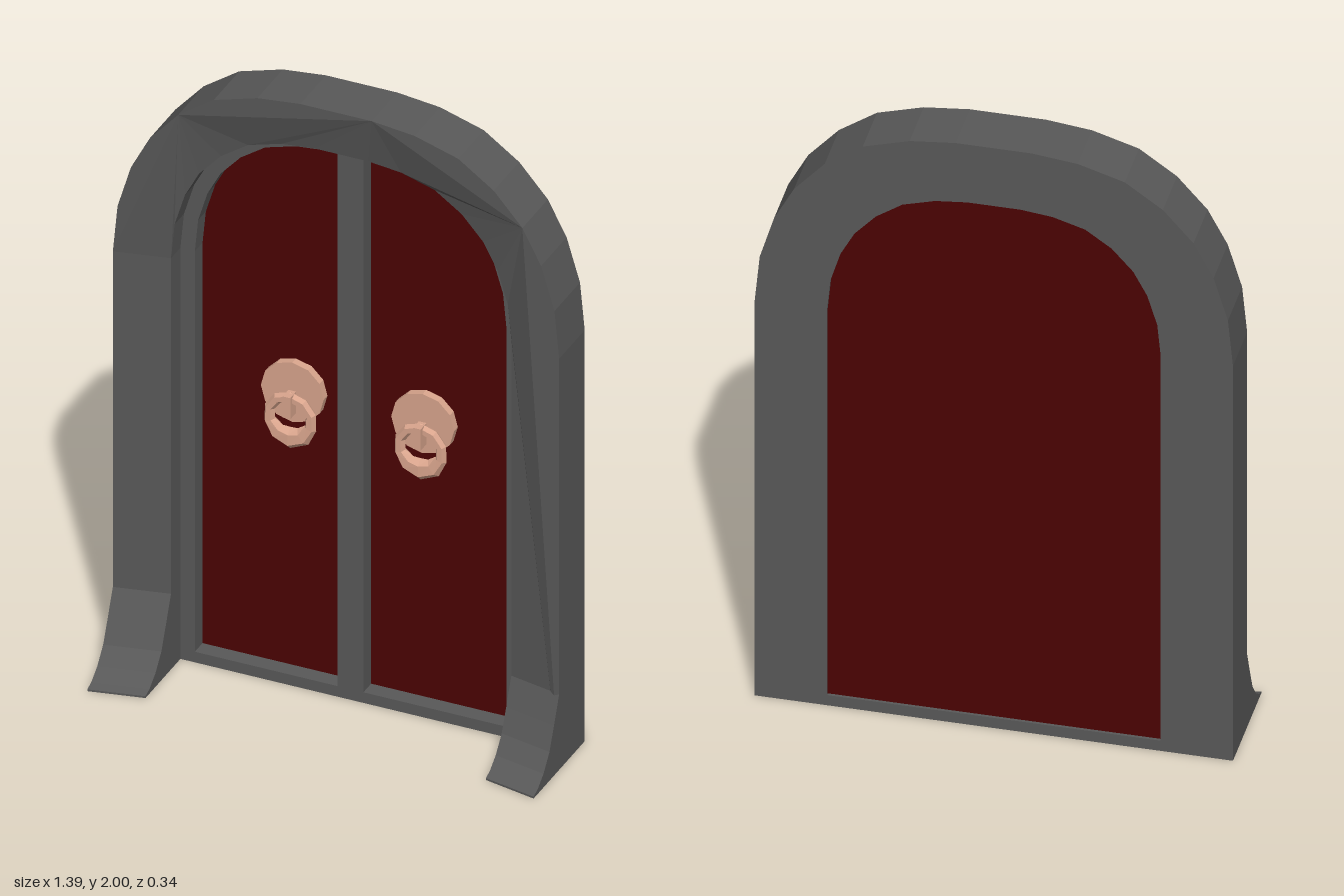
import * as THREE from 'three';

const SPRING = 1.36; // height where the arch begins to curve
const SLOPE = 0.035; // how far the surround's inner edge sits behind its outer edge
// half arch, from the springing to the crown, as fractions of half width and rise
const ARC = [[1, 0], [0.979, 0.24], [0.919, 0.457], [0.835, 0.63], [0.707, 0.787],
  [0.548, 0.908], [0.352, 0.972], [0.16, 0.995]];

const stone = new THREE.MeshStandardMaterial({ color: 0x585858 });
stone.name = 'grey stone';
const redWood = new THREE.MeshStandardMaterial({ color: 0x4b0303 });
redWood.name = 'dark red wood';
const copper = new THREE.MeshStandardMaterial({ color: 0xd8a48c });
copper.name = 'pale copper';

const v2 = (x, y) => new THREE.Vector2(x, y);

const arcPoints = (half, top) =>
  ARC.map(([u, v]) => v2(u * half, SPRING + v * (top - SPRING)));

// arch outline, counter-clockwise from bottom right to bottom left
function archPoints(half, top, bottom) {
  const right = arcPoints(half, top);
  const left = right.map((p) => v2(-p.x, p.y)).reverse();
  return [v2(half, bottom), ...right, ...left, v2(-half, bottom)];
}

// one door leaf opening: half an arch cut off at the centre post
function leafPoints(half, top, bottom, inner, side) {
  return [v2(inner, bottom), v2(half, bottom), ...arcPoints(half, top), v2(inner, top)]
    .map((p) => v2(p.x * side, p.y));
}

function add(parent, name, geometry, material) {
  const mesh = new THREE.Mesh(geometry, material);
  mesh.name = name;
  parent.add(mesh);
  return mesh;
}

function slab(points, holes, zBack, zFront) {
  const shape = new THREE.Shape(points);
  holes.forEach((h) => shape.holes.push(new THREE.Path(h)));
  const g = new THREE.ExtrudeGeometry(shape, { depth: zFront - zBack, bevelEnabled: false });
  return g.translate(0, 0, zBack);
}

function faceted(geometry) {
  const g = geometry.toNonIndexed();
  g.computeVertexNormals();
  return g;
}

// surround whose front face slopes back towards the door
function surroundGeometry(outer, inner, zBack) {
  const g = slab([...outer, ...[...inner].reverse()], [], zBack, 0);
  const p = g.attributes.position;
  for (let i = 0; i < p.count; i++) {
    const here = v2(p.getX(i), p.getY(i));
    const onInner = inner.some((q) => q.distanceTo(here) < 1e-4);
    if (onInner && p.getZ(i) > -0.001) p.setZ(i, -SLOPE);
  }
  g.computeVertexNormals();
  return g;
}

// curved foot that flares forward, sharing the slope of the surround
function footGeometry(side) {
  const profile = [[-0.02, 0], [0.172, 0], [0.172, 0.006], [0.145, 0.015], [0.105, 0.045],
    [0.065, 0.095], [0.035, 0.165], [0, 0.25], [-0.02, 0.25]].map(([z, y]) => v2(z, y));
  const width = 0.165;
  const g = new THREE.ExtrudeGeometry(new THREE.Shape(profile), { depth: width, bevelEnabled: false });
  g.rotateY(-Math.PI / 2); // profile x becomes z, depth runs along -x
  g.translate(side > 0 ? 0.695 : -0.53, 0, 0);
  const p = g.attributes.position;
  for (let i = 0; i < p.count; i++) {
    const t = (Math.abs(p.getX(i)) - 0.53) / width;
    p.setZ(i, p.getZ(i) - SLOPE * (1 - t));
  }
  g.computeVertexNormals();
  return g;
}

// ring that grows heavier towards its lowest point
function ringGeometry(radius, tube) {
  const g = new THREE.TorusGeometry(radius, tube, 6, 10).rotateZ(-Math.PI / 2);
  const p = g.attributes.position;
  for (let i = 0; i < p.count; i++) {
    const r = Math.hypot(p.getX(i), p.getY(i));
    const low = Math.max(0, -p.getY(i) / r) ** 2;
    const k = (radius + (r - radius) * (1 + 1.2 * low)) / r;
    p.setXYZ(i, p.getX(i) * k, p.getY(i) * k, p.getZ(i) * (1 + 0.4 * low));
  }
  return faceted(g);
}

function knocker(side) {
  const group = new THREE.Group();
  group.name = side > 0 ? 'leftKnocker' : 'rightKnocker';
  // round backing plate
  const plate = new THREE.CylinderGeometry(0.098, 0.098, 0.03, 12).rotateX(Math.PI / 2);
  add(group, 'knockerPlate', faceted(plate), copper).position.z = 0.01;
  // bracket holding the ring
  add(group, 'knockerBracket', new THREE.BoxGeometry(0.024, 0.07, 0.045), copper)
    .position.set(0, -0.03, 0.042);
  // hanging ring
  add(group, 'knockerRing', ringGeometry(0.067, 0.016), copper)
    .position.set(0, -0.075, 0.038);
  group.position.set(side * 0.203 + 0.009, 0.953, -0.15);
  return group;
}

export function createModel() {
  const model = new THREE.Group();
  model.name = 'archedDoor';

  const outer = archPoints(0.695, 2, 0);
  const inner = archPoints(0.53, 1.84, 0);
  const opening = archPoints(0.485, 1.8, 0.035);

  // raised outer surround, open at the floor
  add(model, 'archSurround', surroundGeometry(outer, inner, -0.098), stone);

  // recessed door frame with centre post and sill
  const leaves = [1, -1].map((s) => leafPoints(0.485, 1.8, 0.035, 0.04, s));
  add(model, 'doorFrame', slab(outer, leaves, -0.152, -0.098), stone);

  // rear frame around the door
  add(model, 'rearFrame', slab(outer, [opening], -0.172, -0.152), stone);

  // door panel seen from both sides
  add(model, 'doorPanel', slab(opening, [], -0.163, -0.15), redWood);

  for (const side of [1, -1]) {
    add(model, side > 0 ? 'leftFoot' : 'rightFoot', footGeometry(side), stone);
    model.add(knocker(side));
  }
  return model;
}
